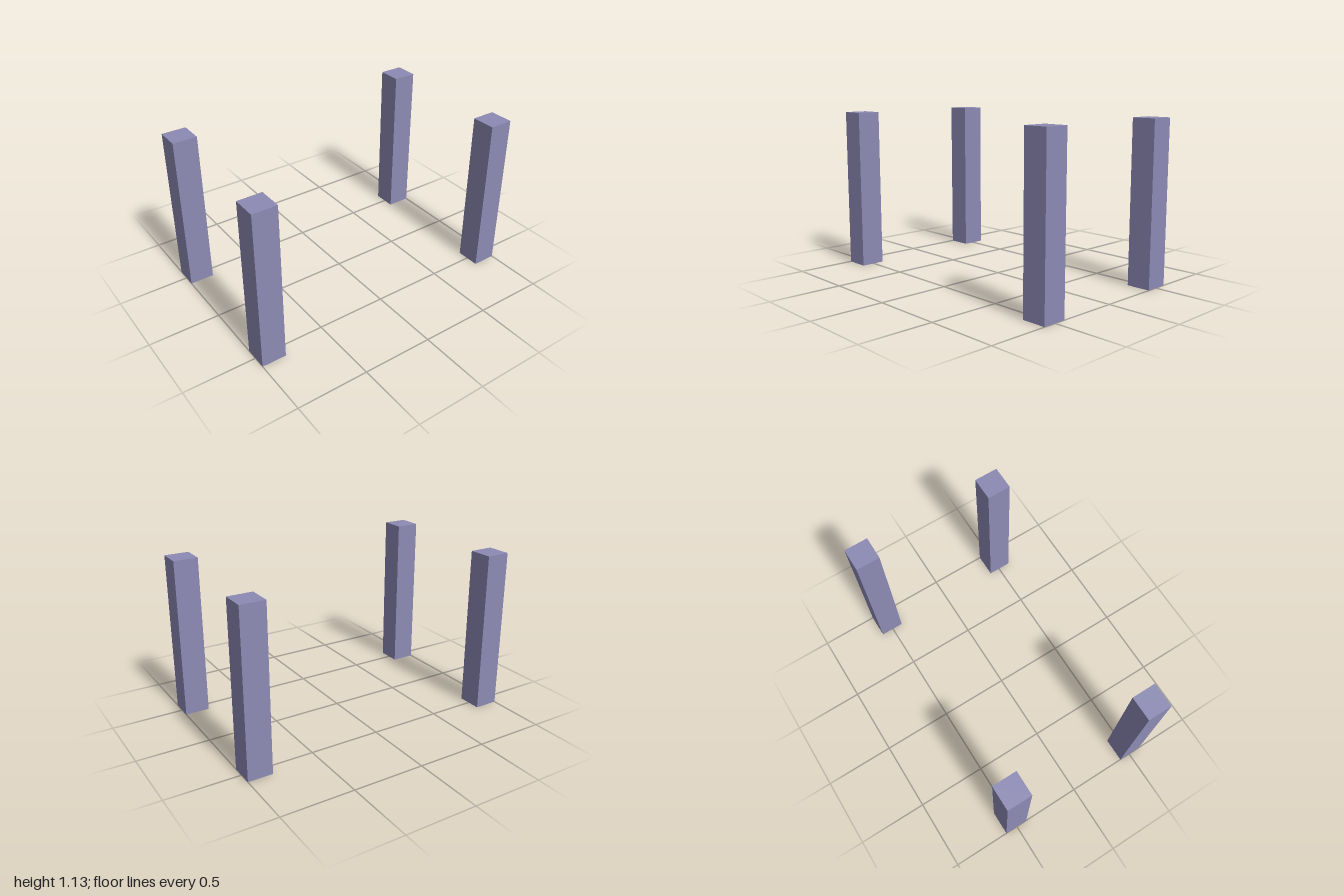
import * as THREE from 'three';

export function createModel() {
  const group = new THREE.Group();
  const width = 0.17, height = 1.13;
  const material = new THREE.MeshStandardMaterial({ color: 0x8c8ab4 });
  const geometry = new THREE.BoxGeometry(width, height, width);

  // Four square legs, one at each corner
  for (const [xName, x] of [['Left', 1], ['Right', -1]]) {
    for (const [zName, z] of [['front', 1], ['back', -1]]) {
      const leg = new THREE.Mesh(geometry, material);
      leg.name = `${zName}${xName}Leg`;
      leg.position.set(x * (1 - width / 2), height / 2, z * 0.505);
      group.add(leg);
    }
  }
  return group;
}
